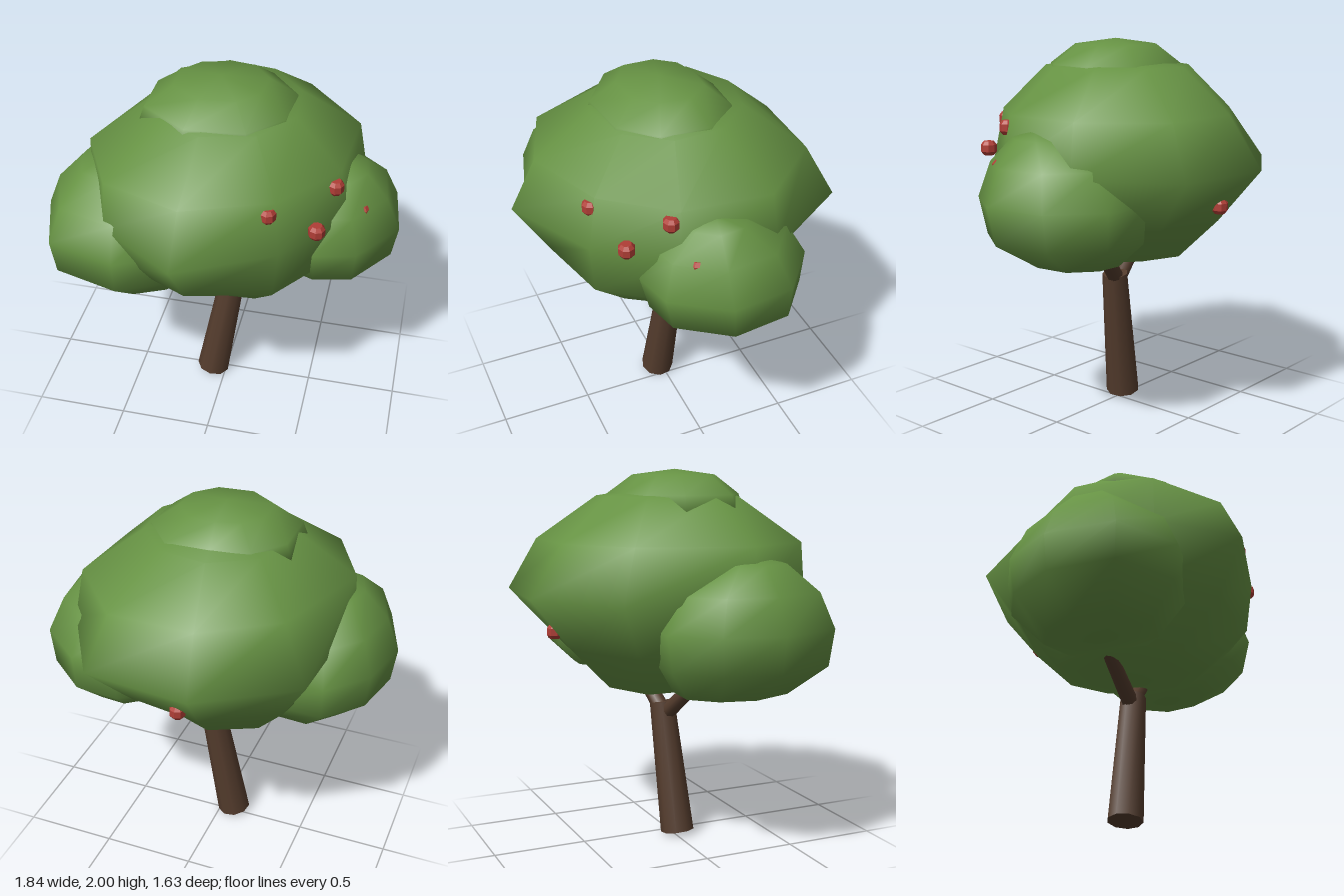
import * as THREE from 'three';

const mat = (name, color) => {
  const m = new THREE.MeshStandardMaterial({ color });
  m.name = name;
  return m;
};

// Plan outline [x, z] scaled about a centre and shifted
const scaled = (outline, [cx, cz], s, dx = 0, dz = 0) =>
  outline.map(([x, z]) => [cx + dx + (x - cx) * s, cz + dz + (z - cz) * s]);

// Plan outline pulled onto a circle; skew lengthens one diagonal and shortens the other
const rounded = (outline, radius, dz = 0, skew = 0) => outline.map(([x, z]) => {
  const a = Math.atan2(z, x), r = radius * (1 - skew * Math.sin(2 * a));
  return [r * Math.cos(a), dz + r * Math.sin(a)];
});

// Closed smooth blob through rings [y, points], bottom to top; poles are [x, y, z]
function blob(name, material, rings, bottom, top) {
  const n = rings[0][1].length, pos = [], idx = [];
  for (const [y, points] of rings)
    for (const [x, z] of points) pos.push(x, y, z);
  const low = pos.length / 3, high = low + 1;
  pos.push(...bottom, ...top);
  const last = (rings.length - 1) * n;
  for (let i = 0; i < n; i++) {
    const k = (i + 1) % n;
    for (let r = 0; r < last; r += n) {
      idx.push(r + i, r + n + i, r + k, r + k, r + n + i, r + n + k);
    }
    idx.push(low, i, k, high, last + k, last + i);
  }
  const g = new THREE.BufferGeometry();
  g.setAttribute('position', new THREE.Float32BufferAttribute(pos, 3));
  g.setIndex(idx);
  g.computeVertexNormals();
  const mesh = new THREE.Mesh(g, material);
  mesh.name = name;
  return mesh;
}

// Tapered limb between two points
function limb(name, material, from, to, r0, r1) {
  const a = new THREE.Vector3(...from), b = new THREE.Vector3(...to);
  const d = b.clone().sub(a);
  const mesh = new THREE.Mesh(new THREE.CylinderGeometry(r1, r0, d.length(), 9), material);
  mesh.position.copy(a).add(b).multiplyScalar(0.5);
  mesh.quaternion.setFromUnitVectors(new THREE.Vector3(0, 1, 0), d.normalize());
  mesh.name = name;
  return mesh;
}

export function createModel() {
  const tree = new THREE.Group();
  tree.name = 'tree';
  const leaf = mat('leafGreen', 0x679344);
  const bark = mat('barkBrown', 0x543c2d);
  const red = mat('fruitRed', 0xb03e36);

  // Leaning trunk and its two forks
  tree.add(
    limb('trunk', bark, [-0.076, 0.014, 0.025], [0.04, 0.73, -0.015], 0.093, 0.07),
    limb('rightBranch', bark, [0, 0.68, 0], [-0.34, 0.95, 0.07], 0.045, 0.035),
    limb('leftBranch', bark, [0.04, 0.7, -0.025], [0.28, 0.96, -0.1], 0.045, 0.038)
  );

  // Large middle crown: angular at its widest, rounder above and below
  const main = [[-0.15, -0.82], [0.41, -0.77], [0.7, -0.3], [0.67, 0.2], [0.38, 0.56],
    [-0.1, 0.81], [-0.5, 0.55], [-0.68, 0.17], [-0.63, -0.51]];
  tree.add(blob('mainCrown', leaf, [
    [0.86, rounded(main, 0.36, 0, -0.12)],
    [1.08, rounded(main, 0.62, 0.02)],
    [1.36, main],
    [1.63, rounded(main, 0.67, 0, 0.08)],
    [1.86, rounded(main, 0.385)],
  ], [0, 0.79, 0], [0, 1.92, 0]));

  // Right side crown
  const right = [[-0.66, -0.3], [-0.35, -0.28], [-0.14, -0.05], [-0.08, 0.28], [-0.18, 0.53],
    [-0.44, 0.65], [-0.8, 0.55], [-0.92, 0.2], [-0.85, -0.1]], rc = [-0.5, 0.2];
  tree.add(blob('rightCrown', leaf, [
    [0.87, scaled(right, rc, 0.62, 0.06, -0.03)],
    [1.03, scaled(right, rc, 0.94)],
    [1.22, right],
    [1.4, scaled(right, rc, 0.83)],
    [1.54, scaled(right, rc, 0.42, -0.04)],
  ], [-0.43, 0.84, 0.18], [-0.56, 1.58, 0.2]));

  // Left side crown
  const left = [[0.64, -0.49], [0.88, -0.29], [0.92, 0.04], [0.73, 0.31], [0.52, 0.36],
    [0.25, 0.25], [0.12, -0.05], [0.18, -0.36], [0.38, -0.51]], lc = [0.52, -0.06];
  tree.add(blob('leftCrown', leaf, [
    [0.9, scaled(left, lc, 0.52, -0.03, -0.07)],
    [1.03, scaled(left, lc, 0.93, 0, -0.02)],
    [1.22, left],
    [1.4, scaled(left, lc, 0.81, 0, 0.02)],
    [1.53, scaled(left, lc, 0.38, 0.06, 0.05)],
  ], [0.46, 0.86, -0.12], [0.62, 1.57, 0.01]));

  // Cap on top of the crown
  const cap = [[-0.05, -0.31], [0.2, -0.3], [0.37, -0.1], [0.35, 0.17], [0.18, 0.35],
    [-0.14, 0.38], [-0.4, 0.2], [-0.4, -0.08], [-0.26, -0.25]], cc = [-0.02, 0.03];
  tree.add(blob('topCrown', leaf, [
    [1.66, scaled(cap, cc, 0.8)],
    [1.79, cap],
    [1.87, scaled(cap, cc, 0.93)],
    [1.97, scaled(cap, cc, 0.58)],
  ], [-0.02, 1.6, 0.03], [-0.02, 2, 0.03]));

  // Small faceted fruit, mostly tucked into the leaves
  const fruitGeo = new THREE.LatheGeometry(
    [[0, -0.037], [0.027, -0.037], [0.042, -0.018], [0.042, 0.018], [0.027, 0.037], [0, 0.037]]
      .map(p => new THREE.Vector2(...p)), 8).toNonIndexed();
  fruitGeo.computeVertexNormals();
  const spots = [[0.54, 1.435, 0.43], [0.315, 1.565, 0.525], [0.595, 1.565, 0.225],
    [0.724, 1.385, 0.145], [-0.03, 1.175, -0.655], [-0.61, 1.56, 0.02]];
  spots.forEach((p, i) => {
    const fruit = new THREE.Mesh(fruitGeo, red);
    fruit.position.set(...p);
    fruit.name = 'fruit' + (i + 1);
    tree.add(fruit);
  });
  return tree;
}
